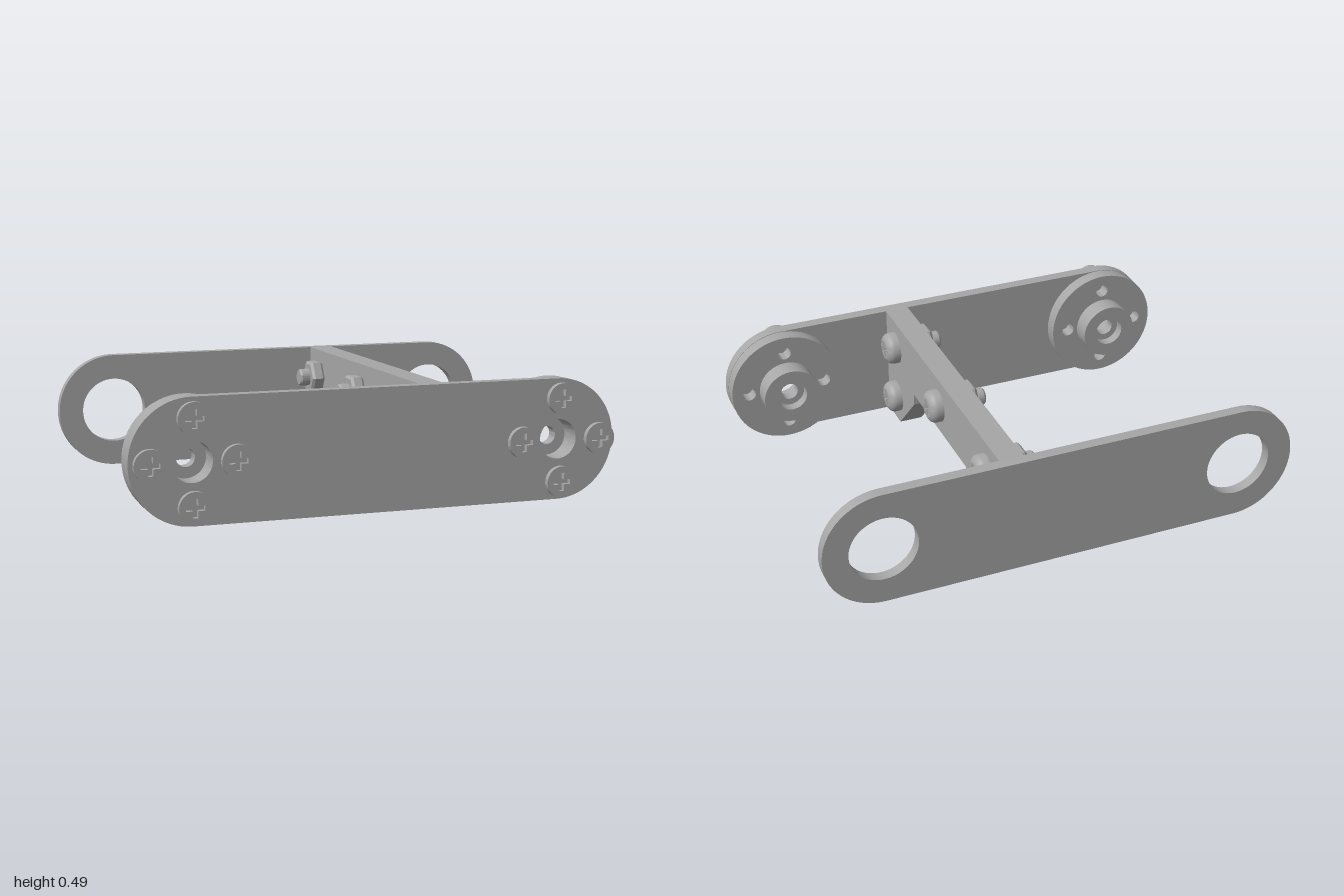
import * as THREE from 'three';
import { toCreasedNormals } from 'three/addons/utils/BufferGeometryUtils.js';

const steel = new THREE.MeshStandardMaterial({ color: 0xa6a6a6 });
steel.name = 'grey steel';

const H = 0.49, R = H / 2, END = 0.756, BOLT_CIRCLE = 0.168;
const QUARTERS = [0, 1, 2, 3].map(i => [Math.cos(i * Math.PI / 2), Math.sin(i * Math.PI / 2)]);

function mesh(name, geometry, parent) {
  const m = new THREE.Mesh(toCreasedNormals(geometry, 0.5), steel);
  m.name = name;
  parent.add(m);
  return m;
}

// Turned part whose axis runs along +z; points are [radius, z]
function turned(points, segments = 40) {
  return new THREE.LatheGeometry(points.map(p => new THREE.Vector2(...p)), segments).rotateX(Math.PI / 2);
}

function extruded(shape, z0, z1) {
  return new THREE.ExtrudeGeometry(shape, { depth: z1 - z0, bevelEnabled: false, curveSegments: 32 }).translate(0, 0, z0);
}

function circle(x, y, r, Type = THREE.Path) {
  return new Type().absarc(x, y, r, 0, Math.PI * 2, false);
}

// Round-ended link plate with a hole at each end
function linkPlate(name, holeR, z0, z1, parent) {
  const s = new THREE.Shape();
  s.absarc(1 - R, R, R, -Math.PI / 2, Math.PI / 2, false);
  s.absarc(-1 + R, R, R, Math.PI / 2, Math.PI * 1.5, false);
  s.closePath();
  for (const x of [-END, END]) s.holes.push(circle(x, R, holeR));
  mesh(name, extruded(s, z0, z1), parent);
}

// Screw head along +z: turned side, then a flat cap with a cross recess
function screwHead(name, profile, arm, half) {
  const g = new THREE.Group();
  g.name = name;
  const [capR, top] = profile[profile.length - 1];
  const depth = 0.022;
  mesh('headSide', turned(profile), g);
  const cap = circle(0, 0, capR, THREE.Shape);
  const cross = new THREE.Path();
  QUARTERS.forEach(([c, s], i) => {
    [[arm, -half], [arm, half], [half, half]].forEach(([x, y], j) => {
      const px = x * c - y * s, py = x * s + y * c;
      if (i + j === 0) cross.moveTo(px, py); else cross.lineTo(px, py);
    });
  });
  cross.closePath();
  cap.holes.push(cross);
  mesh('crossRecess', extruded(cap, top - depth, top - 0.0002), g);
  const floor = new THREE.CircleGeometry(arm * 1.05, 20).translate(0, 0, top - depth);
  mesh('recessFloor', floor, g);
  return g;
}

// Servo-style round hub behind the front plate, with its four screws
function hub(x) {
  const g = new THREE.Group();
  g.name = 'hub';
  g.position.set(x, R, 0);
  const disc = circle(0, 0, R - 0.002, THREE.Shape);
  disc.holes.push(circle(0, 0, 0.08));
  for (const [c, s] of QUARTERS) disc.holes.push(circle(c * BOLT_CIRCLE, s * BOLT_CIRCLE, 0.028));
  mesh('hubDisc', extruded(disc, 0.563, 0.622), g);
  mesh('hubBoss', turned([
    [0.065, 0.48], [0.122, 0.48], [0.122, 0.575], [0.037, 0.575],
    [0.037, 0.525], [0.065, 0.525], [0.065, 0.48]]), g);
  for (const [c, s] of QUARTERS) {
    const head = screwHead('plateScrew', [[0.03, 0], [0.033, 0.008], [0.063, 0.032], [0.063, 0.045]], 0.037, 0.01);
    head.position.set(c * BOLT_CIRCLE, s * BOLT_CIRCLE, 0.67);
    g.add(head);
  }
  return g;
}

// Bolt through the web: rounded head on +x, nut and thread end on -x
function webBolt(y, z) {
  const g = new THREE.Group();
  g.name = 'webBolt';
  g.position.set(0.22, y, z);
  const head = screwHead('boltHead', [
    [0.069, 0], [0.069, 0.024], [0.066, 0.036], [0.06, 0.044], [0.052, 0.05], [0.042, 0.054]], 0.036, 0.01);
  head.rotation.set(0, Math.PI / 2, 0.35, 'YXZ');
  head.position.x = 0.05;
  g.add(head);
  const nut = turned([
    [0, 0], [0.07, 0], [0.079, 0.01], [0.079, 0.045], [0.068, 0.056], [0, 0.056]], 6);
  const thread = turned([[0.038, 0], [0.038, 0.092], [0.031, 0.1], [0, 0.1]], 24);
  mesh('nut', nut.rotateZ(Math.PI / 6).rotateY(-Math.PI / 2).translate(-0.05, 0, 0), g);
  mesh('threadEnd', thread.rotateY(-Math.PI / 2).translate(-0.05, 0, 0), g);
  return g;
}

export function createModel() {
  const model = new THREE.Group();
  model.name = 'linkBracket';

  linkPlate('frontPlate', 0.08, 0.622, 0.672, model);
  linkPlate('backPlate', 0.14, -0.717, -0.67, model);

  // Web joining the plates, cut away below; drawn as (-z, y)
  const web = new THREE.Shape([
    [-0.623, 0], [-0.48, 0], [-0.285, 0.2], [-0.285, 0.25], [0.325, 0.25],
    [0.325, 0.2], [0.52, 0], [0.671, 0], [0.671, H], [-0.623, H],
  ].map(p => new THREE.Vector2(...p)));
  mesh('web', extruded(web, 0.17, 0.27).rotateY(Math.PI / 2), model);

  for (const x of [-END, END]) model.add(hub(x));

  for (const [y, z] of [[0.37, 0.505], [0.37, -0.02], [0.37, -0.542], [0.125, 0.505], [0.125, -0.542]]) {
    model.add(webBolt(y, z));
  }
  return model;
}
